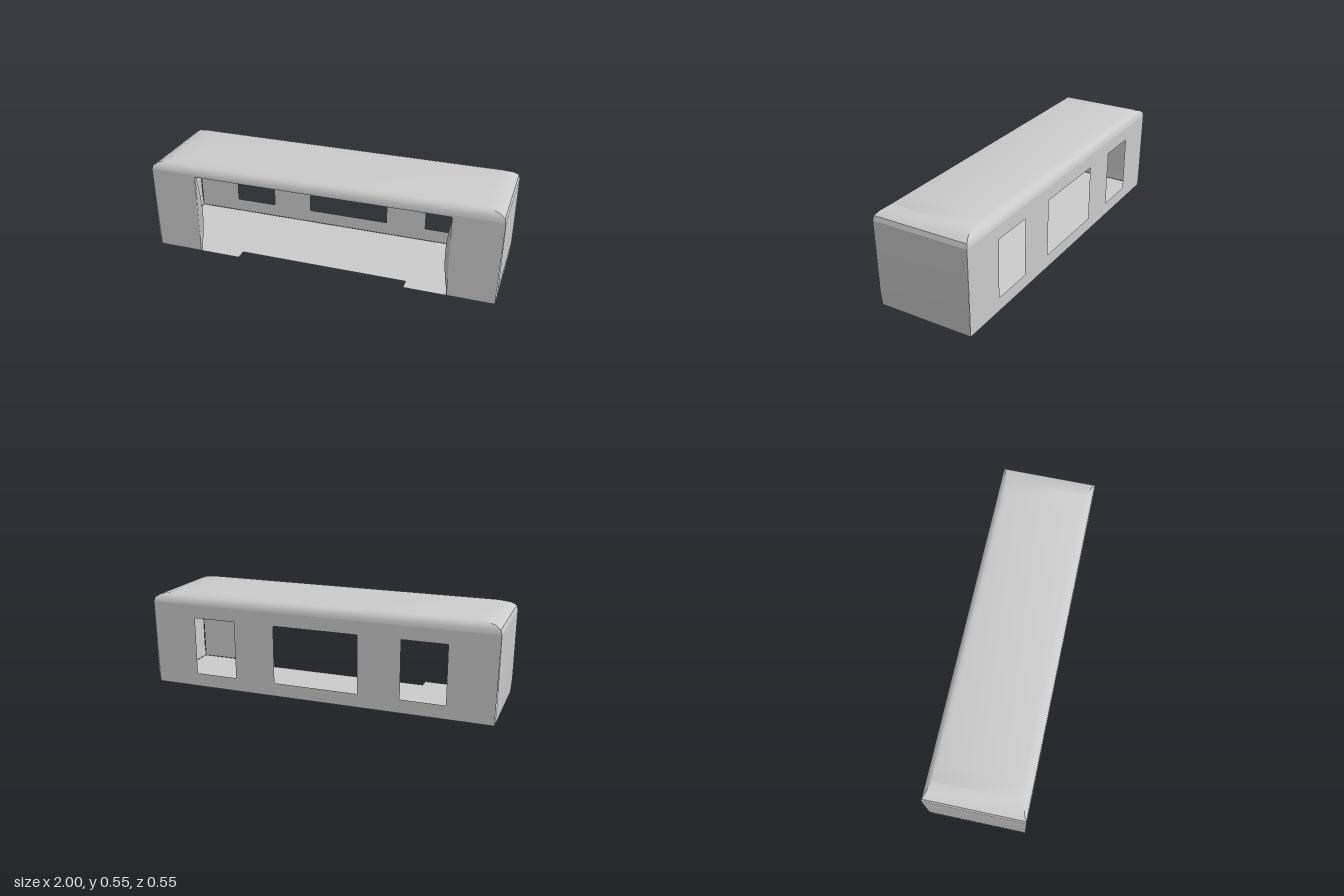
import * as THREE from 'three';
import { toCreasedNormals } from 'three/addons/utils/BufferGeometryUtils.js';

const material = new THREE.MeshStandardMaterial({ color: 0xcccccc, side: THREE.DoubleSide });
const EAVES = 0.49;

// Rectangular outlines of the body: half length, half depth, height
const wallRings = [[0.99, 0.271, 0.003], [0.996, 0.274, 0.08], [1, 0.275, EAVES]];
const roofRings = [
  [1, 0.275, EAVES], [0.993, 0.272, 0.515], [0.965, 0.258, 0.533],
  [0.9, 0.238, 0.546], [0.8, 0.215, 0.552],
];

function add(group, name, geometry) {
  const mesh = new THREE.Mesh(geometry, material);
  mesh.name = name;
  group.add(mesh);
  return mesh;
}

function shapeOf(points) {
  return new THREE.Shape(points.map(([x, y]) => new THREE.Vector2(x, y)));
}

// Skin between successive rectangular rings, on the chosen sides (0 front, 1 left, 2 back, 3 right)
function loft(rings, sides, capped) {
  const pos = [];
  const corner = ([hx, hz, y], i) => {
    const [sx, sz] = [[-1, 1], [1, 1], [1, -1], [-1, -1]][i % 4];
    return [sx * hx, y, sz * hz];
  };
  const quad = (a, b, c, d) => pos.push(...a, ...b, ...c, ...a, ...c, ...d);
  for (let r = 0; r < rings.length - 1; r++) {
    for (const s of sides) {
      quad(corner(rings[r], s), corner(rings[r], s + 1), corner(rings[r + 1], s + 1), corner(rings[r + 1], s));
    }
  }
  const top = rings[rings.length - 1];
  if (capped) quad(corner(top, 0), corner(top, 1), corner(top, 2), corner(top, 3));
  const geometry = new THREE.BufferGeometry();
  geometry.setAttribute('position', new THREE.Float32BufferAttribute(pos, 3));
  geometry.computeVertexNormals();
  return toCreasedNormals(geometry, 0.6);
}

// Flat long wall, leaning out slightly from the floor to the eaves
function longWall(shape) {
  const geometry = new THREE.ShapeGeometry(shape);
  const p = geometry.attributes.position;
  for (let i = 0; i < p.count; i++) p.setZ(i, 0.271 + 0.004 * p.getY(i) / EAVES);
  geometry.computeVertexNormals();
  return geometry;
}

// Bowed return along one upright of the front opening
function jambGeometry(side) {
  const geometry = new THREE.PlaneGeometry(1, 1, 1, 10);
  const p = geometry.attributes.position;
  for (let i = 0; i < p.count; i++) {
    const t = p.getY(i) + 0.5;
    const inner = p.getX(i) > 0 ? 1 : 0;
    const bow = 0.025 * Math.sin(Math.PI * t);
    p.setXYZ(i, side * (0.73 - inner * bow), 0.005 + t * 0.475, 0.272 - inner * 0.012);
  }
  if (side > 0) geometry.index.array.reverse();
  geometry.computeVertexNormals();
  return geometry;
}

export function createModel() {
  const group = new THREE.Group();
  group.name = 'coachBody';

  // Rounded roof and the two end walls
  add(group, 'roof', loft(roofRings, [0, 1, 2, 3], true));
  add(group, 'leftEndWall', loft(wallRings, [1], false));
  add(group, 'rightEndWall', loft(wallRings, [3], false));

  // Front wall with one wide opening reaching the floor
  add(group, 'frontWall', longWall(shapeOf([
    [-0.99, 0.003], [-0.73, 0.003], [-0.73, 0.48], [0.73, 0.48],
    [0.73, 0.003], [0.99, 0.003], [1, EAVES], [-1, EAVES],
  ])));
  for (const side of [-1, 1]) add(group, side > 0 ? 'leftJamb' : 'rightJamb', jambGeometry(side));

  // Back wall with three windows
  const back = shapeOf([[-0.99, 0.003], [0.99, 0.003], [1, EAVES], [-1, EAVES]]);
  for (const [x0, x1] of [[-0.735, -0.485], [-0.245, 0.245], [0.485, 0.735]]) {
    back.holes.push(shapeOf([[x0, 0.08], [x0, 0.413], [x1, 0.413], [x1, 0.08]]));
  }
  add(group, 'backWall', longWall(back)).rotation.y = Math.PI;

  // Floor with a shallow step cut into its front edge
  const floor = new THREE.ShapeGeometry(shapeOf([
    [-0.99, -0.271], [0.99, -0.271], [0.99, 0.271], [0.49, 0.271],
    [0.49, 0.207], [-0.49, 0.207], [-0.49, 0.271], [-0.99, 0.271],
  ]));
  floor.rotateX(Math.PI / 2);
  add(group, 'floor', floor).position.y = 0.002;

  return group;
}
